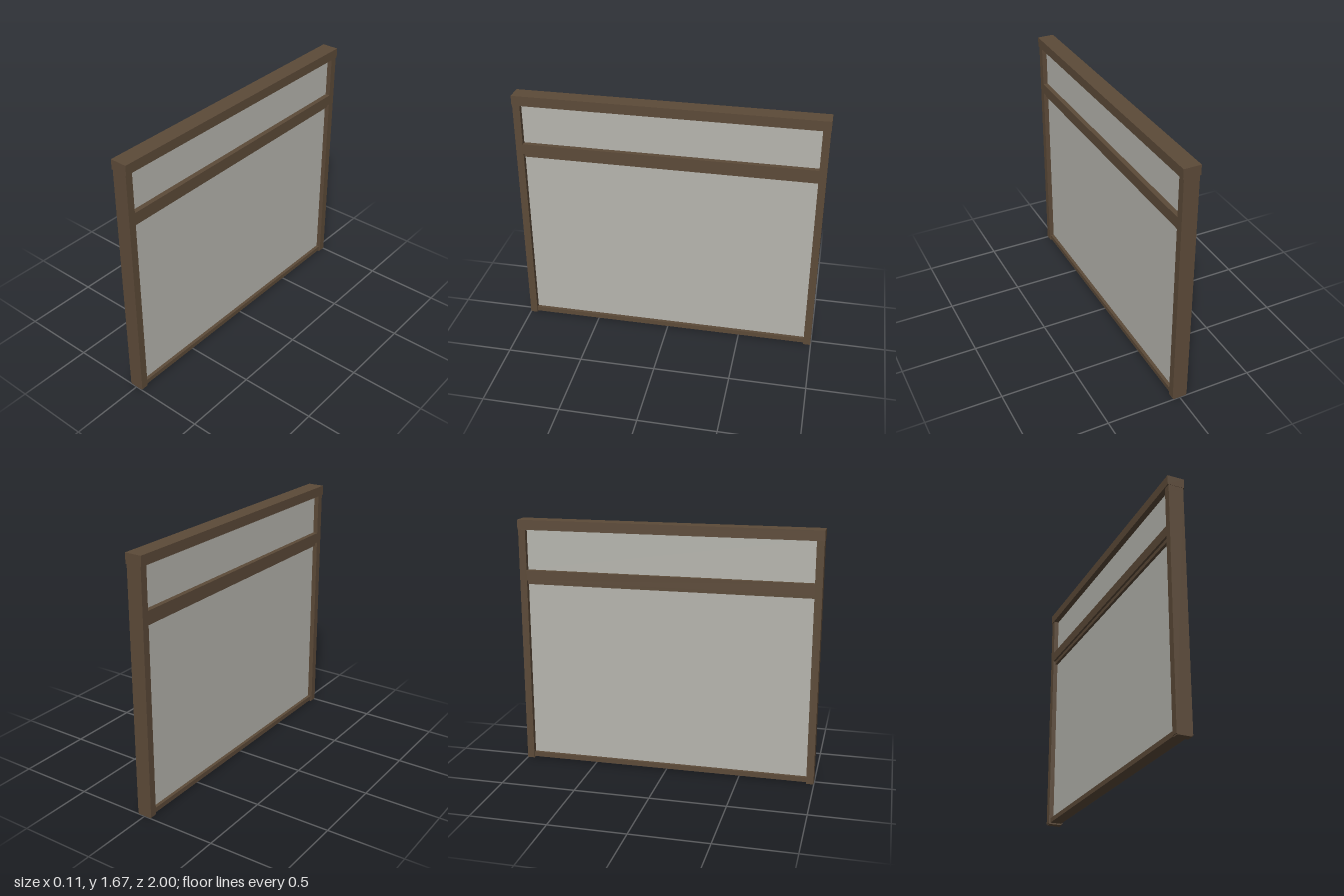
import * as THREE from 'three';

export function createModel() {
  const model = new THREE.Group();
  model.name = 'framedPanel';
  const brown = new THREE.MeshStandardMaterial({ color: 0x5c4a38 });
  brown.name = 'brown frame';
  const grey = new THREE.MeshStandardMaterial({ color: 0xb6b5ae });
  grey.name = 'grey pane';

  // Box centred on x, spanning y0..y1 and z0..z1
  function bar(name, width, y0, y1, z0, z1, material = brown) {
    const mesh = new THREE.Mesh(new THREE.BoxGeometry(width, y1 - y0, z1 - z0), material);
    mesh.position.set(0, (y0 + y1) / 2, (z0 + z1) / 2);
    mesh.name = name;
    model.add(mesh);
  }

  // End posts, each on a slightly narrower foot
  for (const [label, z0, z1] of [['front', 0.95, 0.998], ['back', -0.998, -0.95]]) {
    bar(label + 'Post', 0.1, 0.008, 1.61, z0, z1);
    bar(label + 'Foot', 0.09, 0, 0.008, z0, z1);
  }

  // Cap along the top
  bar('topCap', 0.112, 1.61, 1.675, -1, 1);

  // Middle rail with a recessed lower lip
  bar('middleRail', 0.1, 1.27, 1.34, -0.95, 0.95);
  bar('middleRailLip', 0.072, 1.245, 1.27, -0.95, 0.95);

  // Bottom rail
  bar('bottomRail', 0.08, 0.01, 0.042, -0.95, 0.95);

  // Recessed panes
  bar('upperPane', 0.036, 1.34, 1.61, -0.95, 0.95, grey);
  bar('lowerPane', 0.036, 0.042, 1.245, -0.95, 0.95, grey);

  return model;
}
